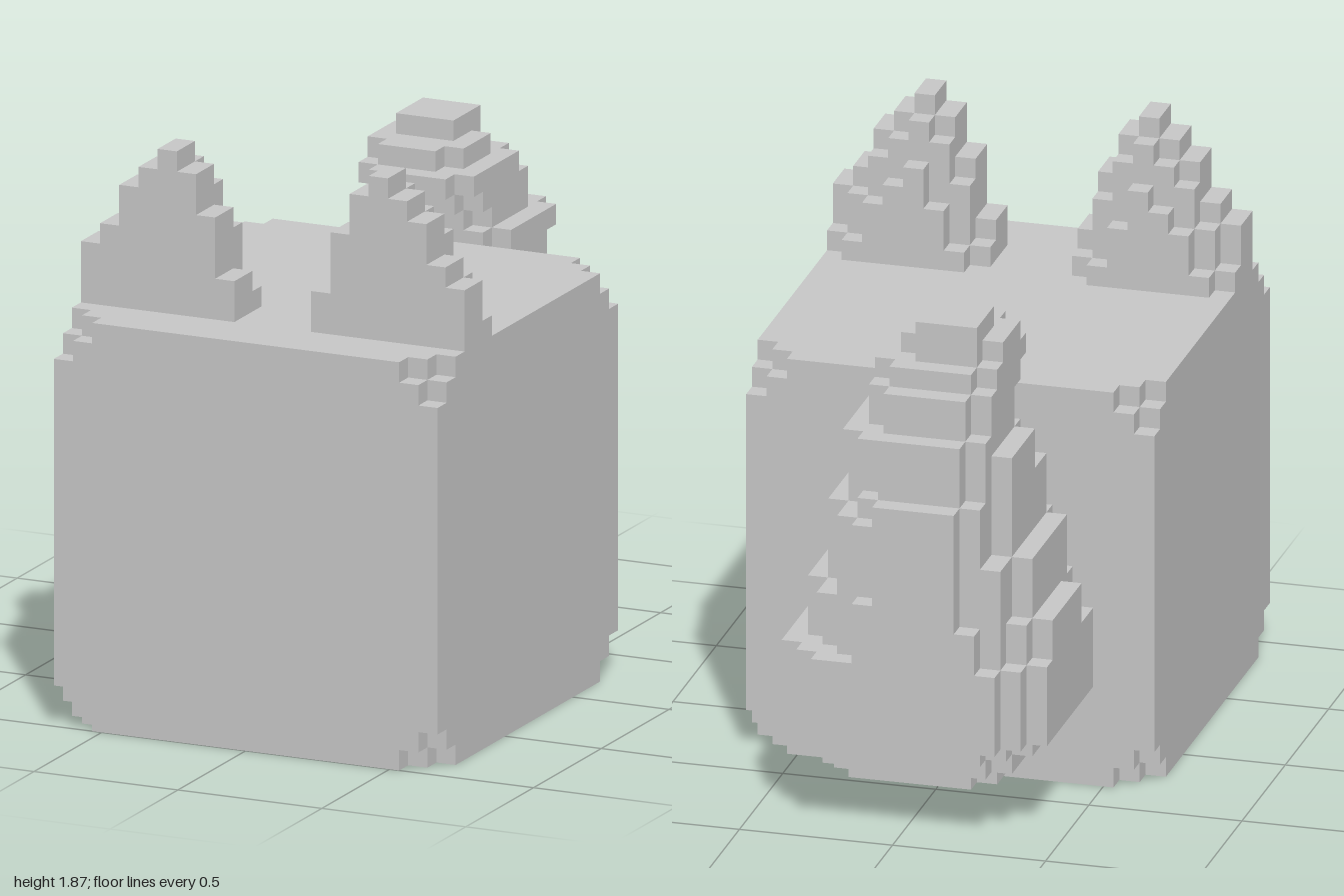
import * as THREE from 'three';

const U = 1 / 15; // edge of one cube

const grey = new THREE.MeshStandardMaterial({ color: 0xc8c8c8 });
grey.name = 'grey';

// Builds the outer faces of all unit cubes for which solid(x, y, z) holds
function voxels(name, min, max, solid) {
  const inside = (c) => c.every((v, a) => v >= min[a] && v < max[a]) && solid(...c);
  const pos = [], nor = [];
  for (let x = min[0]; x < max[0]; x++)
    for (let y = min[1]; y < max[1]; y++)
      for (let z = min[2]; z < max[2]; z++) {
        const cell = [x, y, z];
        if (!inside(cell)) continue;
        for (let a = 0; a < 3; a++)
          for (const s of [1, -1]) {
            const next = [...cell];
            next[a] += s;
            if (inside(next)) continue;
            const b = (a + 1) % 3, c = (a + 2) % 3;
            const corner = (p, q) => {
              const v = [...cell];
              v[a] += s > 0 ? 1 : 0;
              v[b] += p;
              v[c] += q;
              return v.map((n) => n * U);
            };
            const ring = [corner(0, 0), corner(1, 0), corner(1, 1), corner(0, 1)];
            if (s < 0) ring.reverse();
            const n = [0, 0, 0];
            n[a] = s;
            for (const i of [0, 1, 2, 0, 2, 3]) {
              pos.push(...ring[i]);
              nor.push(...n);
            }
          }
      }
  const g = new THREE.BufferGeometry();
  g.setAttribute('position', new THREE.Float32BufferAttribute(pos, 3));
  g.setAttribute('normal', new THREE.Float32BufferAttribute(nor, 3));
  const mesh = new THREE.Mesh(g, grey);
  mesh.name = name;
  return mesh;
}

// Ear column heights from the inner to the outer edge, by depth layer (z = 8..11)
const earLayers = [
  [0, 1, 3, 5, 4, 3, 1, 0],
  [1, 4, 6, 7, 6, 5, 3, 1],
  [2, 5, 7, 8, 7, 6, 4, 3],
  [2, 5, 7, 8, 7, 6, 4, 3],
];

// Tail rows: [first y, last y, right x, left x, front depth, back depth]
const tailRows = [
  [2, 2, -4, 4, 6, 12],
  [3, 3, -5, 5, 5, 13],
  [4, 4, -6, 5, 5, 14],
  [5, 8, -7, 6, 5, 15],
  [9, 10, -7, 5, 5, 15],
  [11, 11, -6, 5, 5, 15],
  [12, 13, -6, 4, 5, 15],
  [14, 15, -5, 4, 5, 15],
  [16, 16, -5, 3, 5, 15],
  [17, 18, -5, 3, 6, 14],
  [19, 19, -4, 3, 7, 14],
  [20, 20, -4, 2, 7, 13],
  [21, 21, -4, 2, 6, 13],
  [22, 22, -4, 2, 5, 12],
  [23, 23, -4, 1, 6, 11],
  [24, 24, -3, 0, 8, 11],
];

// Each tail row is a rounded oval; the lowest ones stay wide up to the body
function inTail(x, y, z) {
  const [, , l, r, f, b] = tailRows.find((t) => y >= t[0] && y <= t[1]);
  const depth = -z - 0.5;
  if (depth < f || depth > b) return false;
  const low = y <= 16;
  const mid = low ? 9 : (f + b) / 2;
  const front = low ? (y < 9 ? 9 : 5) : mid - f;
  const dz = depth > mid ? (depth - mid) / (b - mid) : (mid - depth) / front;
  const dx = Math.abs(x + 0.5 - (l + r) / 2) / ((r - l) / 2);
  const n = y < 9 ? 3 : 2.3;
  return dx ** n + dz ** n <= 1.02;
}

export function createModel() {
  const model = new THREE.Group();

  // Cube body with stepped corners
  model.add(voxels('body', [-10, 0, -5], [10, 20, 15], (x, y, z) =>
    Math.min(x + 10, 9 - x) + Math.min(y, 19 - y) + Math.min(z + 5, 14 - z) >= 2));

  // Mirrored pair of ears
  model.add(voxels('leftEar', [2, 20, 8], [10, 28, 12], (x, y, z) => y - 20 < earLayers[z - 8][x - 2]));
  model.add(voxels('rightEar', [-10, 20, 8], [-2, 28, 12], (x, y, z) => y - 20 < earLayers[z - 8][-3 - x]));

  // Bushy tail with the tip curled forward
  model.add(voxels('tail', [-7, 2, -15], [6, 25, -5], inTail));

  return model;
}
